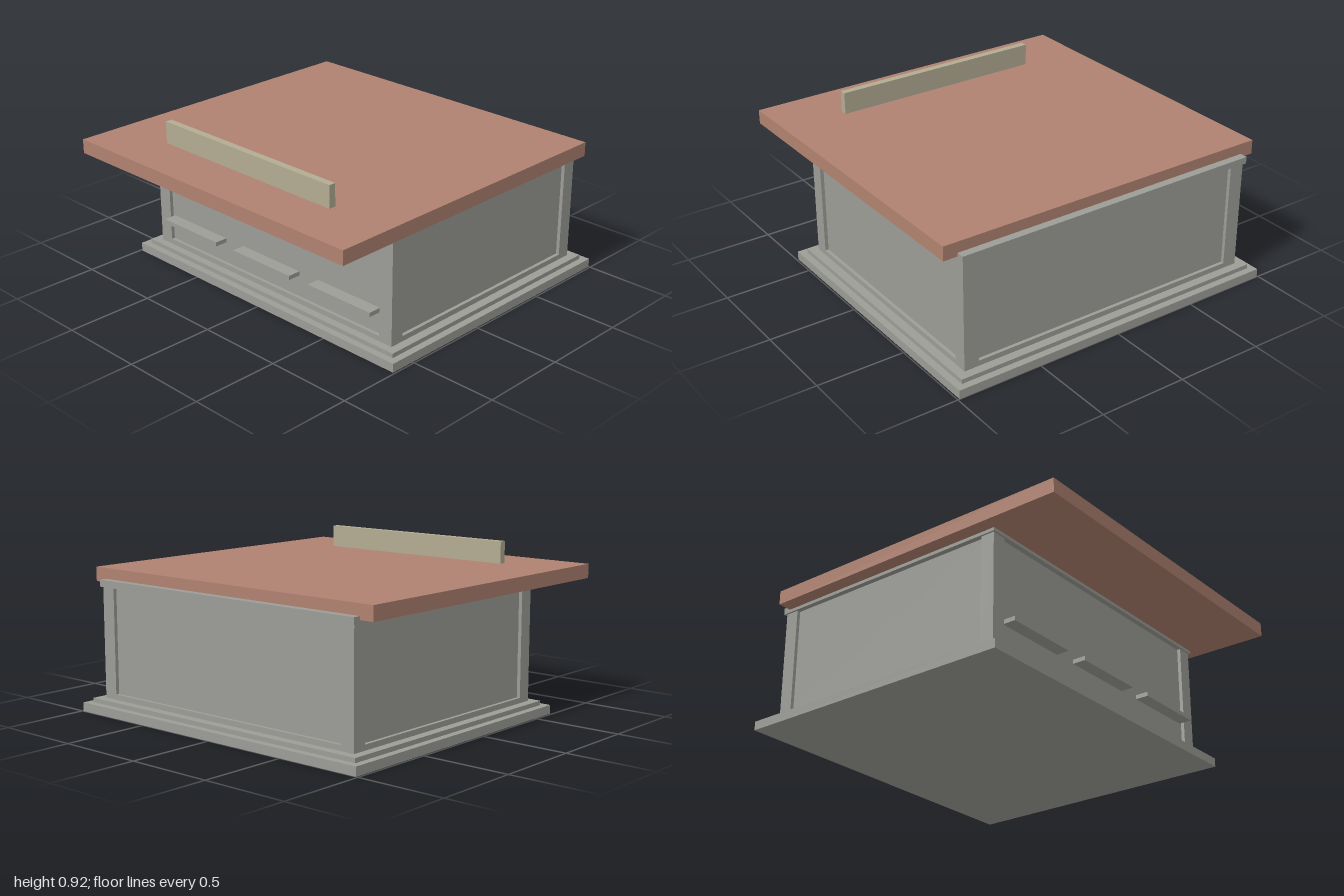
import * as THREE from 'three';

const material = (name, color) => {
  const m = new THREE.MeshStandardMaterial({ color });
  m.name = name;
  return m;
};

export function createModel() {
  const model = new THREE.Group();
  model.name = 'kiosk';
  const stone = material('grey stone', 0x9c9d97);
  const clay = material('clay roof', 0xb08270);
  const sand = material('sand board', 0xb3ac93);

  // Box given by its extents on each axis
  const block = (name, mat, [x0, x1], [y0, y1], [z0, z1]) => {
    const mesh = new THREE.Mesh(new THREE.BoxGeometry(x1 - x0, y1 - y0, z1 - z0), mat);
    mesh.position.set((x0 + x1) / 2, (y0 + y1) / 2, (z0 + z1) / 2);
    mesh.name = name;
    model.add(mesh);
  };

  // Stepped base
  block('basePlinth', stone, [-0.99, 0.99], [0, 0.05], [-1, 0.645]);
  block('baseStep', stone, [-0.95, 0.95], [0.05, 0.075], [-0.96, 0.605]);

  // Recessed walls, with a low rail running between the corner posts
  block('walls', stone, [-0.88, 0.88], [0.075, 0.7], [-0.89, 0.54]);
  for (const [z0, z1] of [[0.54, 0.56], [-0.91, -0.89]])
    block('bottomRail', stone, [-0.815, 0.815], [0.075, 0.105], [z0, z1]);
  for (const [x0, x1] of [[-0.9, -0.88], [0.88, 0.9]])
    block('sideBottomRail', stone, [x0, x1], [0.075, 0.105], [-0.83, 0.48]);

  // Corner posts
  for (const [x0, x1] of [[-0.9, -0.815], [0.815, 0.9]])
    for (const [z0, z1] of [[0.48, 0.56], [-0.91, -0.83]])
      block('cornerPost', stone, [x0, x1], [0.075, 0.7], [z0, z1]);

  // Cornice, showing behind the roof's rear edge
  block('cornice', stone, [-0.91, 0.91], [0.697, 0.735], [-0.925, 0.57]);

  // Front ledges
  for (const x of [-0.58, 0, 0.58])
    block('frontLedge', stone, [x - 0.22, x + 0.22], [0.228, 0.252], [0.54, 0.615]);

  // Overhanging flat roof and its sign board
  block('roof', clay, [-0.99, 0.99], [0.715, 0.795], [-0.88, 1]);
  block('signBoard', sand, [-0.62, 0.62], [0.795, 0.92], [0.675, 0.715]);

  return model;
}
